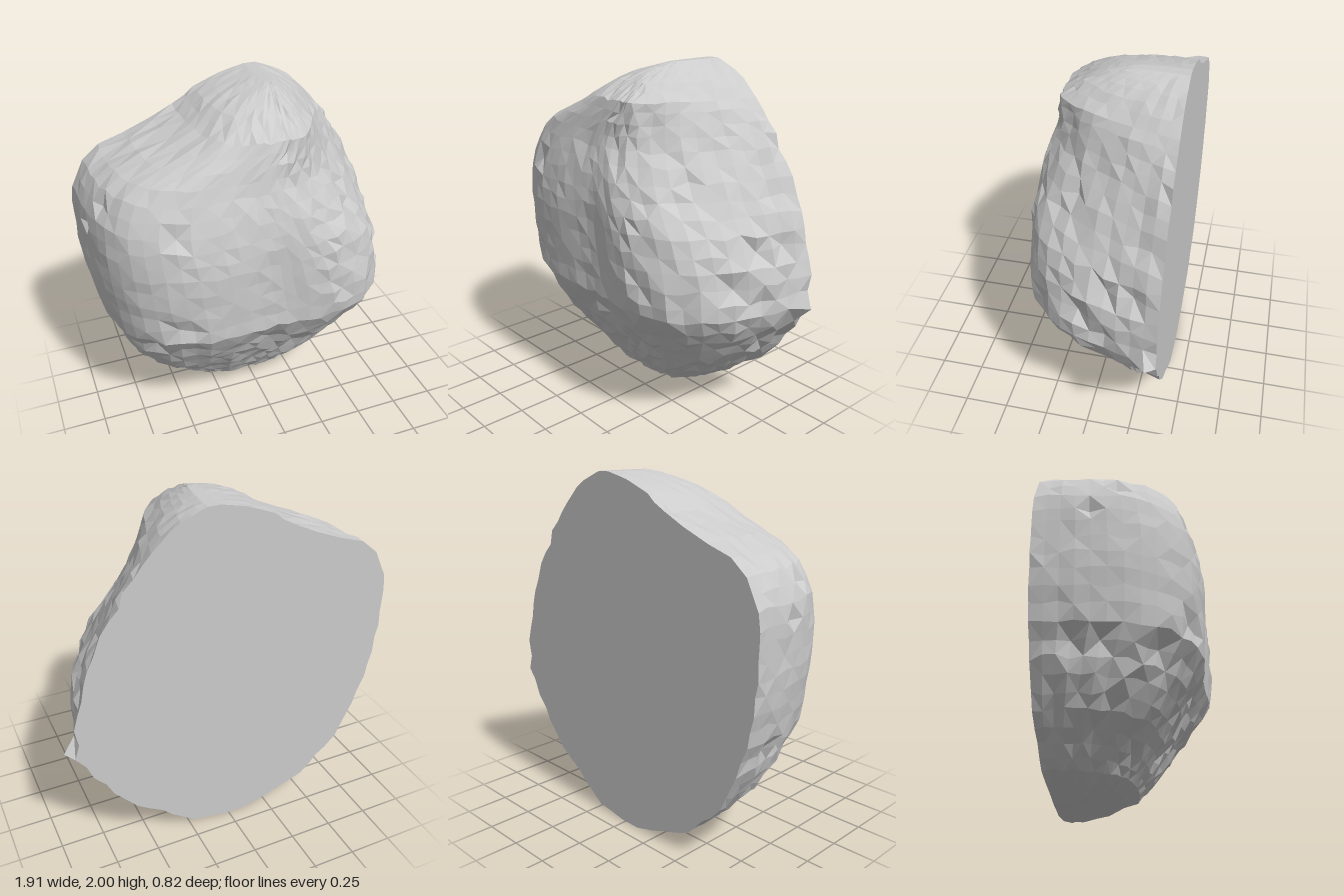
import * as THREE from 'three';

const BACK = -0.41;
// Rock cross-sections: height, right-hand x, left-hand x, foremost z
const SECTIONS = [
  [0, -0.1, 0.02, -0.35], [0.03, -0.22, 0.22, -0.25], [0.07, -0.34, 0.28, -0.12],
  [0.13, -0.5, 0.37, 0], [0.33, -0.72, 0.62, 0.14], [0.54, -0.83, 0.79, 0.28],
  [0.65, -0.87, 0.86, 0.34], [0.74, -0.9, 0.89, 0.4], [0.9, -0.93, 0.89, 0.41],
  [1.05, -0.95, 0.86, 0.415], [1.2, -0.95, 0.83, 0.41], [1.3, -0.955, 0.77, 0.4],
  [1.45, -0.94, 0.7, 0.365], [1.6, -0.85, 0.62, 0.31], [1.68, -0.71, 0.57, 0.29],
  [1.74, -0.53, 0.52, 0.275], [1.82, -0.34, 0.45, 0.25], [1.92, -0.2, 0.33, 0.11],
  [1.98, -0.02, 0.21, -0.02], [2, 0.08, 0.15, -0.11],
];

function sectionAt(y) {
  let k = 0;
  while (k < SECTIONS.length - 2 && SECTIONS[k + 1][0] < y) k++;
  const a = SECTIONS[k], b = SECTIONS[k + 1];
  const t = (y - a[0]) / (b[0] - a[0]);
  return a.map((v, i) => THREE.MathUtils.lerp(v, b[i], t));
}

function seeded(seed) {
  return () => (seed = (seed * 16807) % 2147483647) / 2147483647;
}

function rockGeometry() {
  const rows = 36, cols = 36, rand = seeded(4711);
  const positions = [], index = [];
  for (let j = 0; j <= rows; j++) {
    const y0 = 1 - Math.cos((j / rows) * Math.PI);
    const [, right, left, front] = sectionAt(y0);
    const mid = (left + right) / 2, half = (left - right) / 2, depth = front - BACK;
    const inner = j > 0 && j < rows;
    // The +x flank leans in towards the front, more so near the top
    const lean = 0.2 + 0.3 * THREE.MathUtils.smoothstep(y0, 0.9, 1.8);
    for (let i = 0; i <= cols; i++) {
      // Rounded-square half section, from the +x back edge round the front to -x
      const a = (i / cols) * Math.PI, c = Math.cos(a), s = Math.sin(a);
      const n = c > 0 ? 4 : y0 < 0.3 ? 2.7 : 3.4;
      const r = Math.pow(Math.abs(c) ** n + s ** n, -1 / n);
      // Roughness, coarser on the flank and underside, with occasional chips
      const coarse = c > 0.4 || y0 < 0.74;
      const rough = (rand() - 0.5) * (coarse ? 0.035 : 0.012);
      const chip = rand() < (coarse ? 0.07 : 0.025) ? 0.03 : 0;
      const k = inner ? 1 + rough - chip : 1;
      const taper = 1 - (c > 0 ? lean : 0.03) * r * s;
      let x = mid + half * r * c * k * taper;
      let y = y0 + (rand() - 0.5) * 0.03 * Math.sin((j / rows) * Math.PI);
      let z = BACK + depth * r * s * k;
      // Shallow hollow down the middle of the front
      z -= 0.04 * Math.exp(-((x / 0.22) ** 2) - ((y - 0.95) / 0.5) ** 2) * s ** 4;
      if (i === 0 || i === cols) z = BACK;
      // Single pointed nub on the +x side
      if (j === 15 && i === 1) [x, y, z] = [0.95, 0.75, -0.36];
      positions.push(x, y, z);
    }
  }
  const n = cols + 1;
  // Outer skin; the wrap-around strip forms the flat back
  for (let j = 0; j < rows; j++) {
    for (let i = 0; i < n; i++) {
      const a = j * n + i, b = j * n + ((i + 1) % n);
      // Alternate the diagonals for an irregular, faceted look
      if ((i + j) % 2) index.push(a, b + n, b, a, a + n, b + n);
      else index.push(a, a + n, b, b, a + n, b + n);
    }
  }
  // Bottom and top caps
  const top = rows * n;
  for (let i = 1; i < cols; i++) {
    index.push(0, i, i + 1);
    index.push(top, top + i + 1, top + i);
  }
  const geo = new THREE.BufferGeometry();
  geo.setAttribute('position', new THREE.Float32BufferAttribute(positions, 3));
  geo.setIndex(index);
  const flat = geo.toNonIndexed();
  flat.computeVertexNormals();
  return flat;
}

export function createModel() {
  const group = new THREE.Group();
  group.name = 'halfBoulder';
  const material = new THREE.MeshStandardMaterial({ color: 0xcccccc, flatShading: true });
  const rock = new THREE.Mesh(rockGeometry(), material);
  rock.name = 'rock';
  group.add(rock);
  return group;
}
